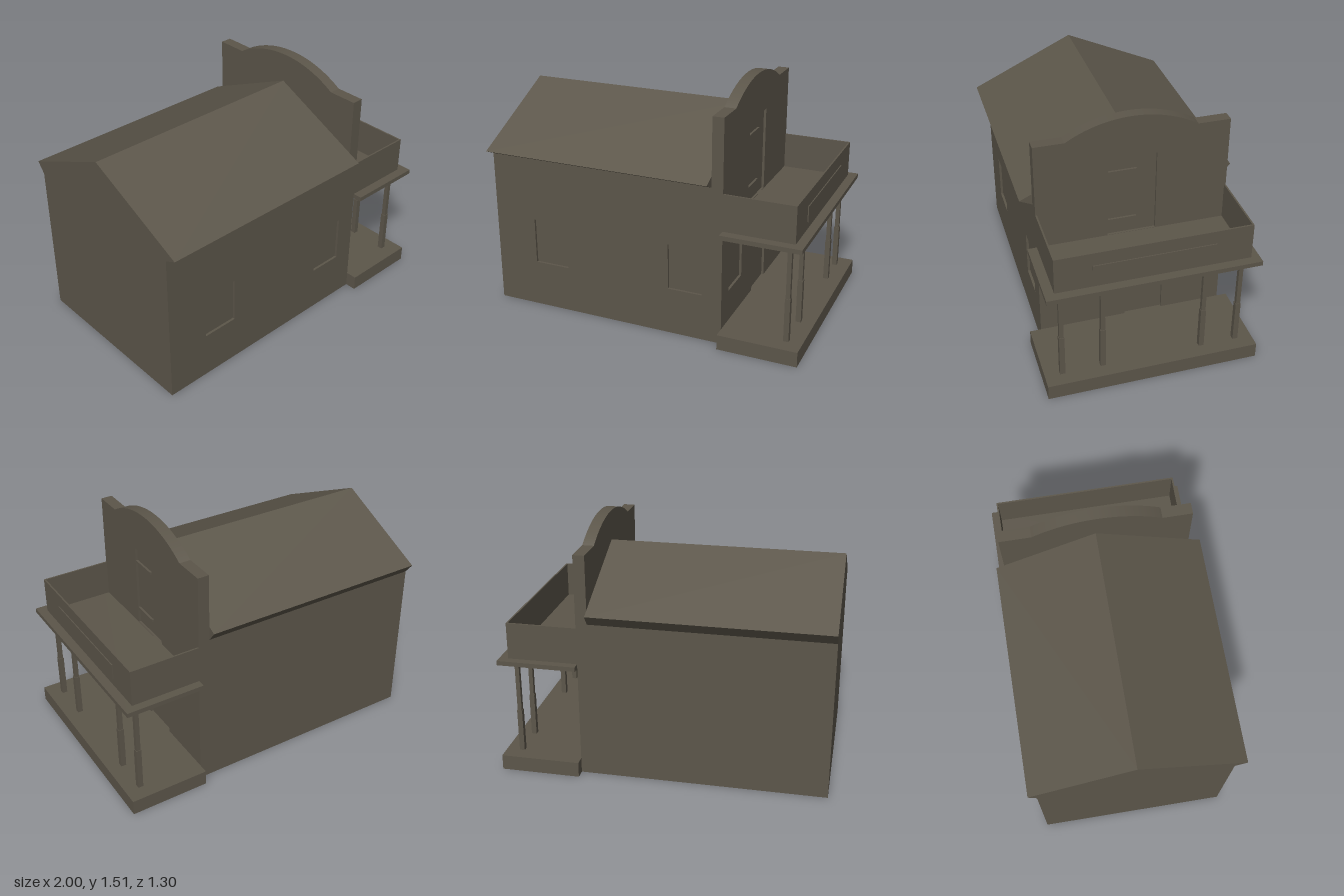
import * as THREE from 'three';

export function createModel() {
  const model = new THREE.Group();
  model.name = 'falseFrontBuilding';
  const timber = new THREE.MeshStandardMaterial({ color: 0x5c564a });
  timber.name = 'weatheredTimber';

  const add = (name, geometry) => {
    const mesh = new THREE.Mesh(geometry, timber);
    mesh.name = name;
    model.add(mesh);
    return mesh;
  };

  // Box given by its limits on each axis
  const box = (name, x0, x1, y0, y1, z0, z1) =>
    add(name, new THREE.BoxGeometry(x1 - x0, y1 - y0, z1 - z0)
      .translate((x0 + x1) / 2, (y0 + y1) / 2, (z0 + z1) / 2));

  const cutRect = (shape, x0, x1, y0, y1) => {
    const hole = new THREE.Path();
    hole.moveTo(x0, y0).lineTo(x0, y1).lineTo(x1, y1).lineTo(x1, y0).closePath();
    shape.holes.push(hole);
  };

  const extrude = (shape, depth) =>
    new THREE.ExtrudeGeometry(shape, { depth, bevelEnabled: false, curveSegments: 24 });

  const zL = 0.573, zR = -0.585, recess = 0.015;

  // Main hall: solid core plus a side wall with two recessed windows
  box('hallCore', -1, 0.44, 0, 0.985, zR, zL - recess);
  const side = new THREE.Shape();
  side.moveTo(-1, 0).lineTo(0.44, 0).lineTo(0.44, 0.985).lineTo(-1, 0.985).closePath();
  cutRect(side, -0.733, -0.508, 0.295, 0.585);
  cutRect(side, 0.17, 0.385, 0.295, 0.585);
  add('windowedSideWall', extrude(side, recess).translate(0, 0, zL - recess));

  // Gable roof with pointed eaves (profile drawn with u = -z)
  const gable = new THREE.Shape([
    [-zL, 0.985], [-zR, 0.985], [0.635, 1.05], [0.01, 1.33], [-0.648, 1.02],
  ].map(([u, y]) => new THREE.Vector2(u, y)));
  add('gableRoof', extrude(gable, 1.44).rotateY(Math.PI / 2).translate(-1, 0, 0));

  // False front with arched top; the outer layer has recessed openings
  const facadeShape = () => {
    const half = 0.39, rise = 0.11, top = 1.402;
    const radius = (half * half + rise * rise) / (2 * rise);
    const angle = Math.asin(half / radius);
    const s = new THREE.Shape();
    s.moveTo(-zL, 0).lineTo(-zR, 0).lineTo(-zR, top).lineTo(half, top);
    s.absarc(0, top + rise - radius, radius, Math.PI / 2 - angle, Math.PI / 2 + angle, false);
    s.lineTo(-zL, top).closePath();
    return s;
  };
  const placeFacade = (name, shape, x0, depth) =>
    add(name, extrude(shape, depth).rotateY(Math.PI / 2).translate(x0, 0, 0));
  placeFacade('facadeBacking', facadeShape(), 0.44, 0.07 - recess);
  const outer = facadeShape();
  cutRect(outer, -0.035, 0.205, 0.095, 0.615); // entrance
  cutRect(outer, -0.455, -0.235, 0.295, 0.585); // porch window
  cutRect(outer, -0.145, 0.148, 0.73, 1.25); // balcony door
  placeFacade('facadeFace', outer, 0.51 - recess, recess);

  // Strap hinges of the balcony door
  for (const y of [0.82, 1.15]) box('doorHinge', 0.49, 0.508, y, y + 0.016, -0.03, 0.145);

  // Porch floor and canopy
  box('porchFloor', 0.51, 1, 0, 0.095, -0.648, 0.642);
  box('canopySlab', 0.51, 0.995, 0.7, 0.728, -0.635, 0.63);

  // Balcony parapet, open at the top, with a blank board
  box('parapetFront', 0.93, 0.94, 0.728, 0.955, zR, zL);
  box('parapetLeft', 0.51, 0.93, 0.728, 0.955, zL - 0.01, zL);
  box('parapetRight', 0.51, 0.93, 0.728, 0.955, zR, zR + 0.01);
  box('blankBoard', 0.94, 0.946, 0.775, 0.872, -0.368, 0.357);

  // Porch posts, thicker in the lower part
  for (const z of [0.535, 0.29, -0.324, -0.543]) {
    box('postBase', 0.886, 0.918, 0.095, 0.37, z - 0.016, z + 0.016);
    box('postShaft', 0.889, 0.915, 0.37, 0.7, z - 0.013, z + 0.013);
  }
  return model;
}
